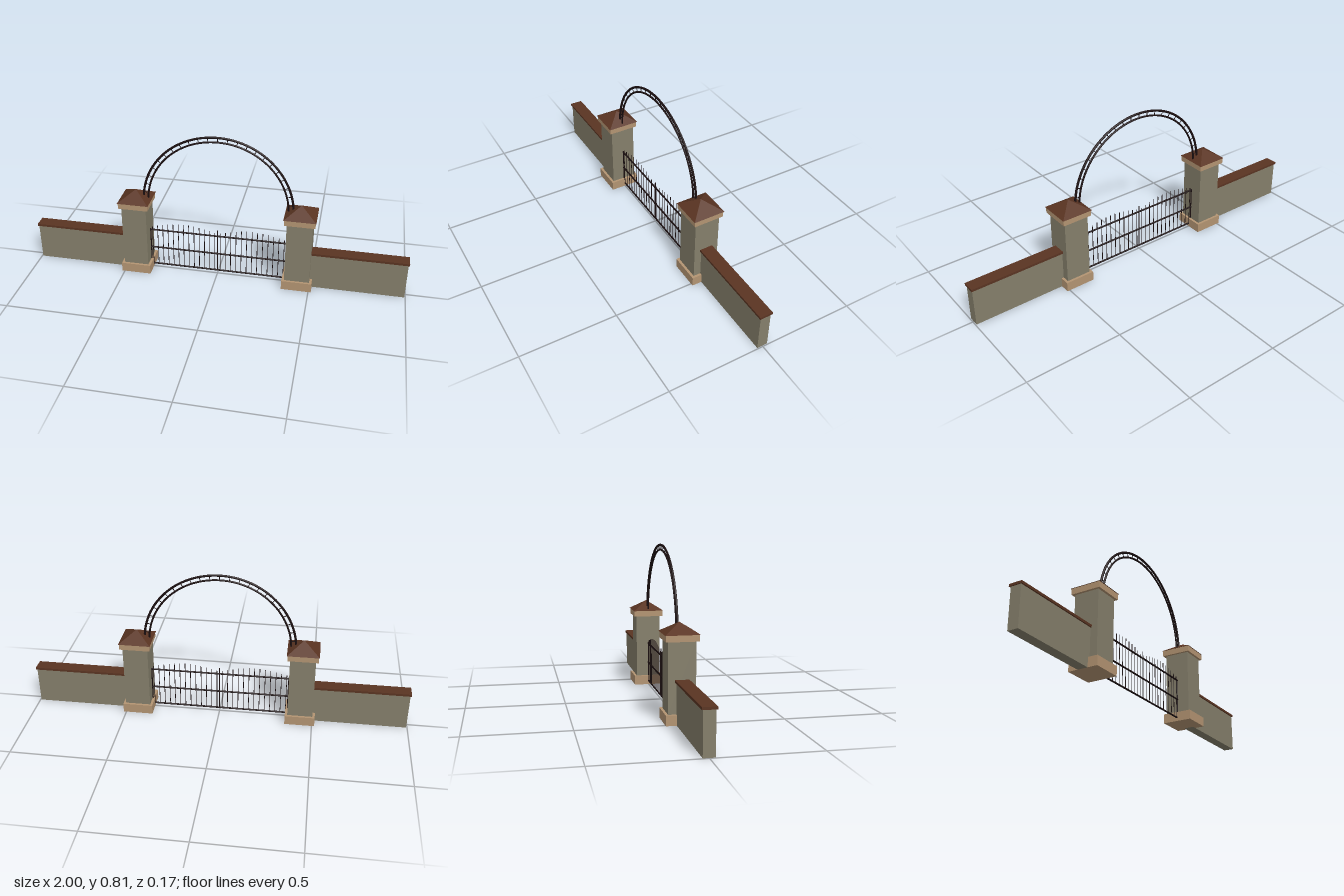
import * as THREE from 'three';

const mat = (name, color) => {
  const m = new THREE.MeshStandardMaterial({ color });
  m.name = name;
  return m;
};

export function createModel() {
  const stone = mat('stone', 0x857f6b);
  const trim = mat('sandstone trim', 0xb39472);
  const tile = mat('brown tile', 0x5a3422);
  const iron = mat('dark iron', 0x1b0f10);
  const root = new THREE.Group();
  root.name = 'gateway';

  const add = (parent, name, geo, material, x = 0, y = 0, z = 0) => {
    const m = new THREE.Mesh(geo, material);
    m.name = name;
    m.position.set(x, y, z);
    parent.add(m);
    return m;
  };
  // Box resting on height y0
  const box = (parent, name, material, w, h, d, x, y0) =>
    add(parent, name, new THREE.BoxGeometry(w, h, d), material, x, y0 + h / 2);
  // Thin round bar between two points in the gate plane
  const bar = (parent, name, x1, y1, x2, y2, r, sides = 6) => {
    const len = Math.hypot(x2 - x1, y2 - y1);
    const m = add(parent, name, new THREE.CylinderGeometry(r, r, len, sides), iron,
      (x1 + x2) / 2, (y1 + y2) / 2);
    m.rotation.z = Math.atan2(y2 - y1, x2 - x1) - Math.PI / 2;
    return m;
  };

  for (const s of [-1, 1]) {
    const side = s > 0 ? 'left' : 'right';

    // Pillar with base, cap and pyramid roof
    const pillar = new THREE.Group();
    pillar.name = side + 'Pillar';
    pillar.position.x = s * 0.435;
    root.add(pillar);
    box(pillar, 'pillarBase', trim, 0.158, 0.05, 0.158, 0, 0);
    box(pillar, 'pillarShaft', stone, 0.132, 0.34, 0.132, 0, 0.05);
    box(pillar, 'pillarCap', trim, 0.158, 0.031, 0.158, 0, 0.39);
    const roof = new THREE.ConeGeometry(0.083 * Math.SQRT2, 0.052, 4, 1).toNonIndexed();
    roof.rotateY(Math.PI / 4);
    roof.computeVertexNormals();
    add(pillar, 'pillarRoof', roof, tile, 0, 0.447);

    // Side wall with coping
    const wall = new THREE.Group();
    wall.name = side + 'Wall';
    root.add(wall);
    box(wall, 'wallBody', stone, 0.505, 0.2, 0.055, s * 0.7425, 0);
    box(wall, 'wallCoping', tile, 0.51, 0.012, 0.068, s * 0.745, 0.2);

    // Gate leaf: rails and pickets with a bowed top line
    const leaf = new THREE.Group();
    leaf.name = side + 'GateLeaf';
    root.add(leaf);
    for (const y of [0.02, 0.125, 0.235]) bar(leaf, 'rail', 0, y, s * 0.375, y, 0.0045, 8);
    const n = 13;
    for (let i = 0; i < n; i++) {
      const t = (i + 0.5) / n;
      const top = 0.248 + 0.035 * Math.sin(Math.PI * t);
      bar(leaf, 'picket', s * t * 0.37, 0.02, s * t * 0.37, top, 0.0018);
    }
    bar(leaf, 'hingeStile', s * 0.366, 0.02, s * 0.366, 0.24, 0.003);
  }
  bar(root, 'meetingStile', 0, 0.02, 0, 0.27, 0.0025);

  // Overhead arch: two hoops joined by short rungs
  const arch = new THREE.Group();
  arch.name = 'arch';
  arch.position.y = 0.412;
  root.add(arch);
  const outer = 0.395, inner = 0.37;
  add(arch, 'outerHoop', new THREE.TorusGeometry(outer, 0.006, 8, 64, Math.PI), iron);
  add(arch, 'innerHoop', new THREE.TorusGeometry(inner, 0.005, 8, 64, Math.PI), iron);
  const rungs = 24;
  for (let i = 1; i < rungs; i++) {
    const a = (i / rungs) * Math.PI, c = Math.cos(a), q = Math.sin(a);
    bar(arch, 'rung', c * inner, q * inner, c * outer, q * outer, 0.002);
  }
  return root;
}
